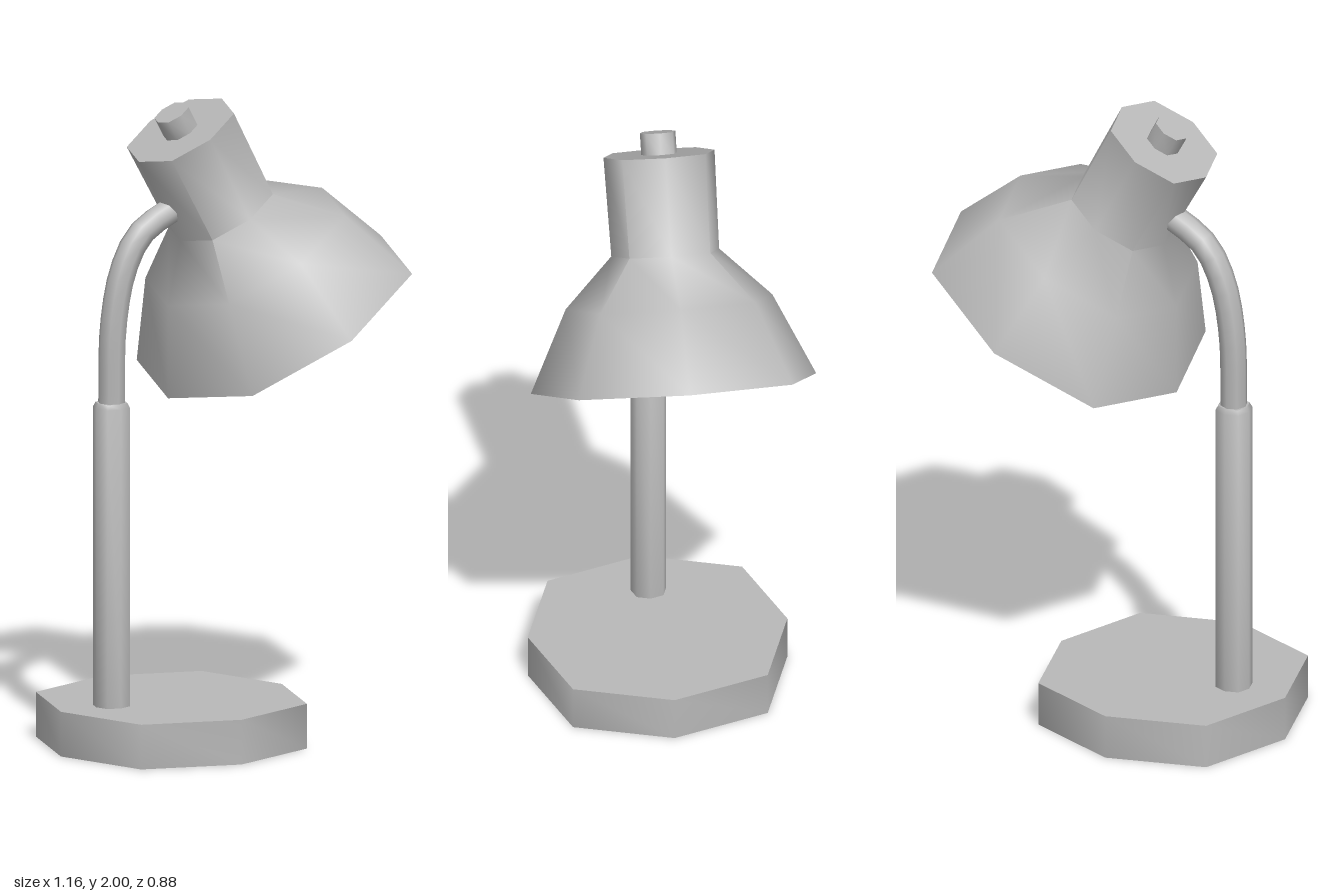
import * as THREE from 'three';
import { toCreasedNormals } from 'three/addons/utils/BufferGeometryUtils.js';

const CREASE = THREE.MathUtils.degToRad(60);

// Eight-sided turned solid whose diagonal corners sit at 0.75 of the radius.
// Each profile entry is [radius, height, optional sideways shift of that ring].
function octagonSolid(profile) {
  const points = profile.map(([r, y]) => new THREE.Vector2(r, y));
  const geometry = new THREE.LatheGeometry(points, 8);
  const pos = geometry.attributes.position;
  for (let i = 0; i < pos.count; i++) {
    const column = Math.floor(i / points.length);
    const stretch = column % 2 ? 0.75 * Math.SQRT2 : 1;
    const shift = profile[i % points.length][2] || 0;
    pos.setX(i, pos.getX(i) * stretch + shift);
    pos.setZ(i, pos.getZ(i) * stretch);
  }
  return toCreasedNormals(geometry, CREASE);
}

export function createModel() {
  const lamp = new THREE.Group();
  lamp.name = 'deskLamp';
  const metal = new THREE.MeshStandardMaterial({ color: 0xb8b8b8 });
  metal.name = 'grey metal';

  function add(name, geometry, parent = lamp) {
    const mesh = new THREE.Mesh(geometry, metal);
    mesh.name = name;
    parent.add(mesh);
    return mesh;
  }

  // Heavy foot
  add('base', octagonSolid([[0, 0], [0.402, 0], [0.402, 0.14], [0, 0.14]])).position.x = -0.182;

  // Upright post with a slightly tapered collar
  add('post', octagonSolid([[0, 0.13], [0.055, 0.13], [0.055, 1.075], [0.047, 1.09], [0, 1.09]])).position.x = -0.4;

  // Bent neck reaching into the lamp head
  const bend = new THREE.CatmullRomCurve3([
    [-0.4, 1.06], [-0.393, 1.33], [-0.357, 1.5], [-0.295, 1.605], [-0.18, 1.67], [-0.08, 1.71],
  ].map(([x, y]) => new THREE.Vector3(x, y, 0)));
  add('neck', new THREE.TubeGeometry(bend, 14, 0.042, 8));

  // Tilted head, with its origin at the centre of the rim
  const head = new THREE.Group();
  head.name = 'head';
  head.position.set(0.193, 1.293, 0);
  head.rotation.z = 0.503;
  lamp.add(head);

  // Shade: inner disc, inner wall, rim, flared bell and socket housing
  add('shade', octagonSolid([
    [0, 0.075], [0.37, 0.075], [0.4, 0], [0.442, 0],
    [0.32, 0.254, 0.018], [0.167, 0.405], [0.172, 0.71], [0, 0.71],
  ]), head);

  // Switch knob on top of the housing
  add('knob', octagonSolid([[0, 0.7], [0.055, 0.7], [0.055, 0.777], [0, 0.777]]), head);

  return lamp;
}
